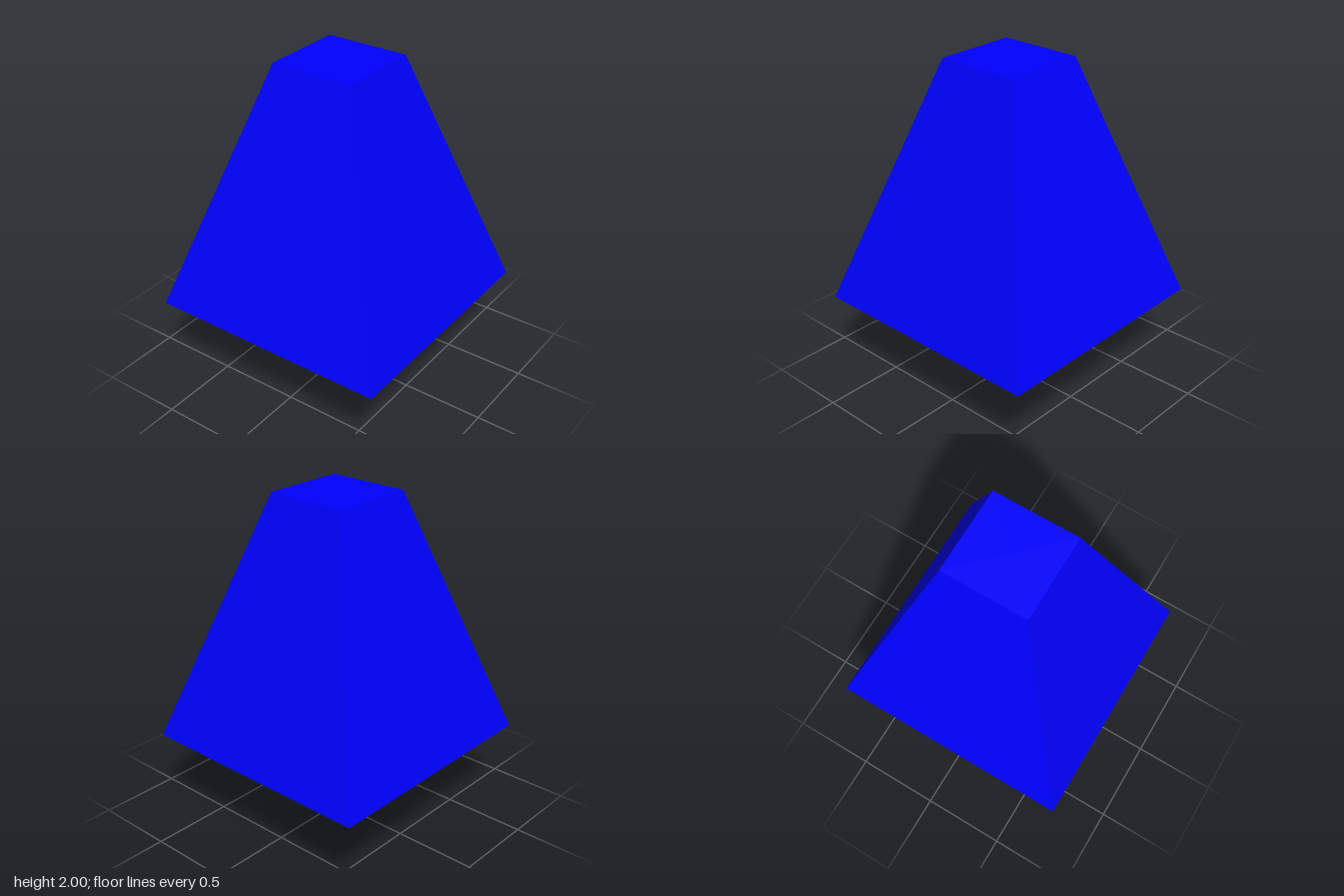
import * as THREE from 'three';

export function createModel() {
  const model = new THREE.Group();
  const base = 0.52, top = 2;

  // Tapered square crown: a four-sided frustum turned so its faces meet the axes
  const crownGeometry = new THREE.CylinderGeometry(
    0.255 * Math.SQRT2, 0.74 * Math.SQRT2, top - base, 4
  );
  crownGeometry.rotateY(Math.PI / 4);
  const crown = new THREE.Mesh(
    crownGeometry,
    new THREE.MeshStandardMaterial({ color: 0x0000ff, flatShading: true })
  );
  crown.name = 'crown';
  crown.position.y = (base + top) / 2;
  model.add(crown);

  // Eight-sided trunk with smooth sides
  const trunk = new THREE.Mesh(
    new THREE.CylinderGeometry(0.13, 0.13, base, 8),
    new THREE.MeshStandardMaterial({ color: 0x000073 })
  );
  trunk.name = 'trunk';
  trunk.position.y = base / 2;
  model.add(trunk);

  return model;
}
